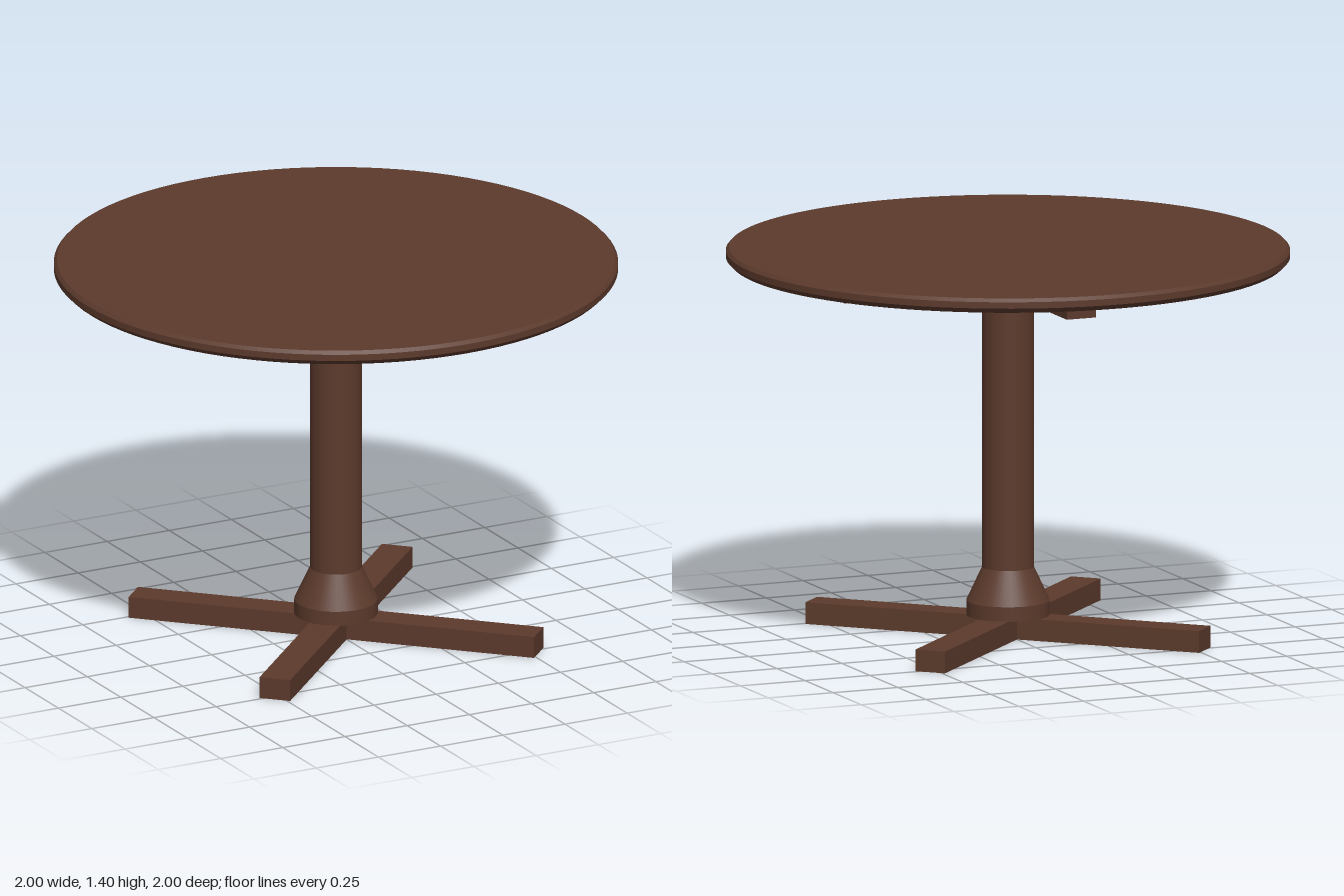
import * as THREE from 'three';
import { mergeGeometries } from 'three/addons/utils/BufferGeometryUtils.js';

const wood = new THREE.MeshStandardMaterial({ color: 0x5c3a2c });
wood.name = 'dark wood';

// Turned solid from [radius, y] points, bottom to top, with crisp edges between bands
function turned(name, points, sides) {
  const bands = [];
  for (let i = 0; i < points.length - 1; i++) {
    const [r0, y0] = points[i];
    const [r1, y1] = points[i + 1];
    const band = new THREE.CylinderGeometry(r1, r0, y1 - y0, sides, 1, true);
    bands.push(band.translate(0, (y0 + y1) / 2, 0));
  }
  const [rb, yb] = points[0];
  const [rt, yt] = points[points.length - 1];
  bands.push(new THREE.CircleGeometry(rb, sides).rotateX(Math.PI / 2).translate(0, yb, 0));
  bands.push(new THREE.CircleGeometry(rt, sides).rotateX(-Math.PI / 2).translate(0, yt, 0));
  const mesh = new THREE.Mesh(mergeGeometries(bands), wood);
  mesh.name = name;
  return mesh;
}

// Two crossed beams, built as one through beam and two half arms
function cross(name, half, width, y0, y1, angle) {
  const group = new THREE.Group();
  group.name = name;
  const add = (part, length, offset, turn) => {
    const geometry = new THREE.BoxGeometry(length, y1 - y0, width).translate(offset, 0, 0);
    const beam = new THREE.Mesh(geometry, wood);
    beam.name = part;
    beam.position.y = (y0 + y1) / 2;
    beam.rotation.y = turn;
    group.add(beam);
  };
  add('throughBeam', half * 2, 0, 0);
  for (const side of [1, -1]) {
    add('crossArm', half - width / 2, (half + width / 2) / 2, side * Math.PI / 2);
  }
  group.rotation.y = angle;
  return group;
}

export function createModel() {
  const table = new THREE.Group();
  table.name = 'pedestalTable';

  // Round top with chamfered rim
  table.add(turned('tableTop', [[0.982, 1.35], [1, 1.368], [1, 1.391], [0.989, 1.403]], 96));

  // Column with a flared head and a stepped foot
  table.add(turned('column', [
    [0.148, 0.078], [0.148, 0.13], [0.092, 0.25], [0.092, 1.2], [0.107, 1.265], [0.107, 1.35],
  ], 40));

  // Supports under the top, and diagonal floor feet
  table.add(cross('topSupports', 0.655, 0.113, 1.257, 1.35, 0));
  table.add(cross('baseFeet', 0.75, 0.113, 0, 0.078, Math.PI / 4));
  return table;
}
